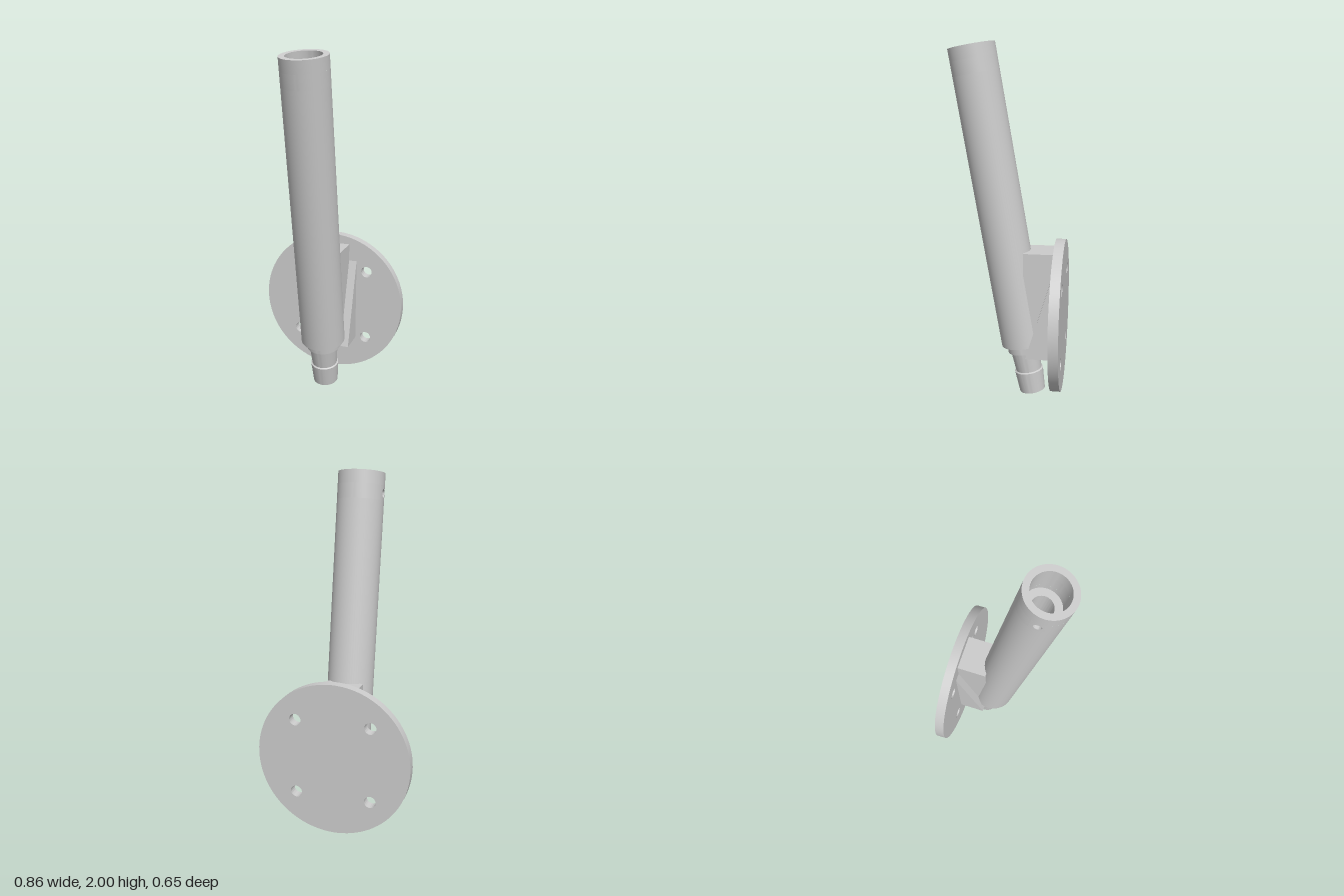
import * as THREE from 'three';
import { toCreasedNormals } from 'three/addons/utils/BufferGeometryUtils.js';

const material = new THREE.MeshStandardMaterial({ color: 0xcccccc });
const SEG = 64;

function addMesh(parent, name, geometry) {
  const mesh = new THREE.Mesh(toCreasedNormals(geometry, 0.5), material);
  mesh.name = name;
  parent.add(mesh);
  return mesh;
}

function lathe(profile, start = 0, length = Math.PI * 2) {
  return new THREE.LatheGeometry(profile.map(([r, y]) => new THREE.Vector2(r, y)), SEG, start, length);
}

// Curved wall patch on the -x side with a round drilled hole through it
function drilledPatch(outerR, innerR, y, holeR, halfAngle, halfHeight) {
  const n = 32, steps = 3, positions = [], index = [];
  const rows = [];
  for (let i = 0; i <= steps; i++) rows.push([outerR, i / steps]);
  for (let i = steps; i >= 0; i--) rows.push([innerR, i / steps]);
  for (const [R, k] of rows) {
    for (let j = 0; j <= n; j++) {
      const t = (j / n) * Math.PI * 2, c = Math.cos(t), s = Math.sin(t);
      const m = Math.max(Math.abs(c), Math.abs(s));
      const u = THREE.MathUtils.lerp(halfAngle * c / m, Math.asin(holeR * c / R), k);
      const v = THREE.MathUtils.lerp(halfHeight * s / m, holeR * s, k);
      positions.push(-R * Math.cos(u), y + v, R * Math.sin(u));
    }
  }
  for (let i = 0; i < rows.length - 1; i++) {
    for (let j = 0; j < n; j++) {
      const a = i * (n + 1) + j, b = a + n + 1;
      index.push(a, a + 1, b, a + 1, b + 1, b);
    }
  }
  const geometry = new THREE.BufferGeometry();
  geometry.setAttribute('position', new THREE.Float32BufferAttribute(positions, 3));
  geometry.setIndex(index);
  return geometry;
}

export function createModel() {
  const model = new THREE.Group();
  model.name = 'tubeHolder';

  // Round wall plate with four screw holes
  const disc = new THREE.Shape().absarc(0, 0, 0.432, 0, Math.PI * 2);
  for (const x of [-0.213, 0.213]) {
    for (const y of [-0.213, 0.213]) {
      disc.holes.push(new THREE.Path().absarc(x, y, 0.033, 0, Math.PI * 2, true));
    }
  }
  const plate = addMesh(model, 'wallPlate',
    new THREE.ExtrudeGeometry(disc, { depth: 0.055, bevelEnabled: false, curveSegments: 48 }));
  plate.position.set(0, 0.483, -0.325);

  // Block joining the plate to the tube
  const block = addMesh(model, 'mountingBlock', new THREE.BoxGeometry(0.206, 0.6, 0.18));
  block.position.set(0, 0.56, -0.19);

  // Triangular side ribs, drawn as (z, y) and extruded across x
  for (const side of [-1, 1]) {
    const rib = new THREE.Shape([[0.275, 0.26], [0.275, 0.775], [0.12, 0.26]]
      .map(([z, y]) => new THREE.Vector2(z, y)));
    const mesh = addMesh(model, side > 0 ? 'leftRib' : 'rightRib',
      new THREE.ExtrudeGeometry(rib, { depth: 0.05, bevelEnabled: false }));
    mesh.rotation.y = Math.PI / 2;
    mesh.position.x = side > 0 ? 0.1 : -0.15;
  }

  // Tilted tube, built upright along y
  const tube = new THREE.Group();
  tube.name = 'tiltedTube';
  tube.position.set(0, 0.013, -0.148);
  tube.rotation.x = THREE.MathUtils.degToRad(10);
  model.add(tube);

  const R = 0.13, r = 0.097, top = 1.995;
  const holeY = 1.885, halfH = 0.04, halfA = 0.3;
  const low = holeY - halfH, high = holeY + halfH;

  // Main tube, collar, barbed nozzle and stepped bore
  addMesh(tube, 'tubeAndNozzle', lathe([
    [r, low], [r, 1.81], [0.057, 1.81], [0.057, 0], [0.074, 0], [0.083, 0.125],
    [0.075, 0.13], [0.085, 0.25], [0.1, 0.25], [0.1, 0.297], [R, 0.297], [R, low],
  ]));

  // Socket rim above the drilled hole
  addMesh(tube, 'socketRim', lathe([[R, high], [R, top], [r, top], [r, high]]));

  // Socket wall around the drilled hole
  const start = -Math.PI / 2 + halfA, sweep = Math.PI * 2 - 2 * halfA;
  addMesh(tube, 'socketOuterWall', lathe([[R, low], [R, high]], start, sweep));
  addMesh(tube, 'socketInnerWall', lathe([[r, high], [r, low]], start, sweep));
  addMesh(tube, 'drilledWall', drilledPatch(R, r, holeY, 0.022, halfA, halfH));

  return model;
}
